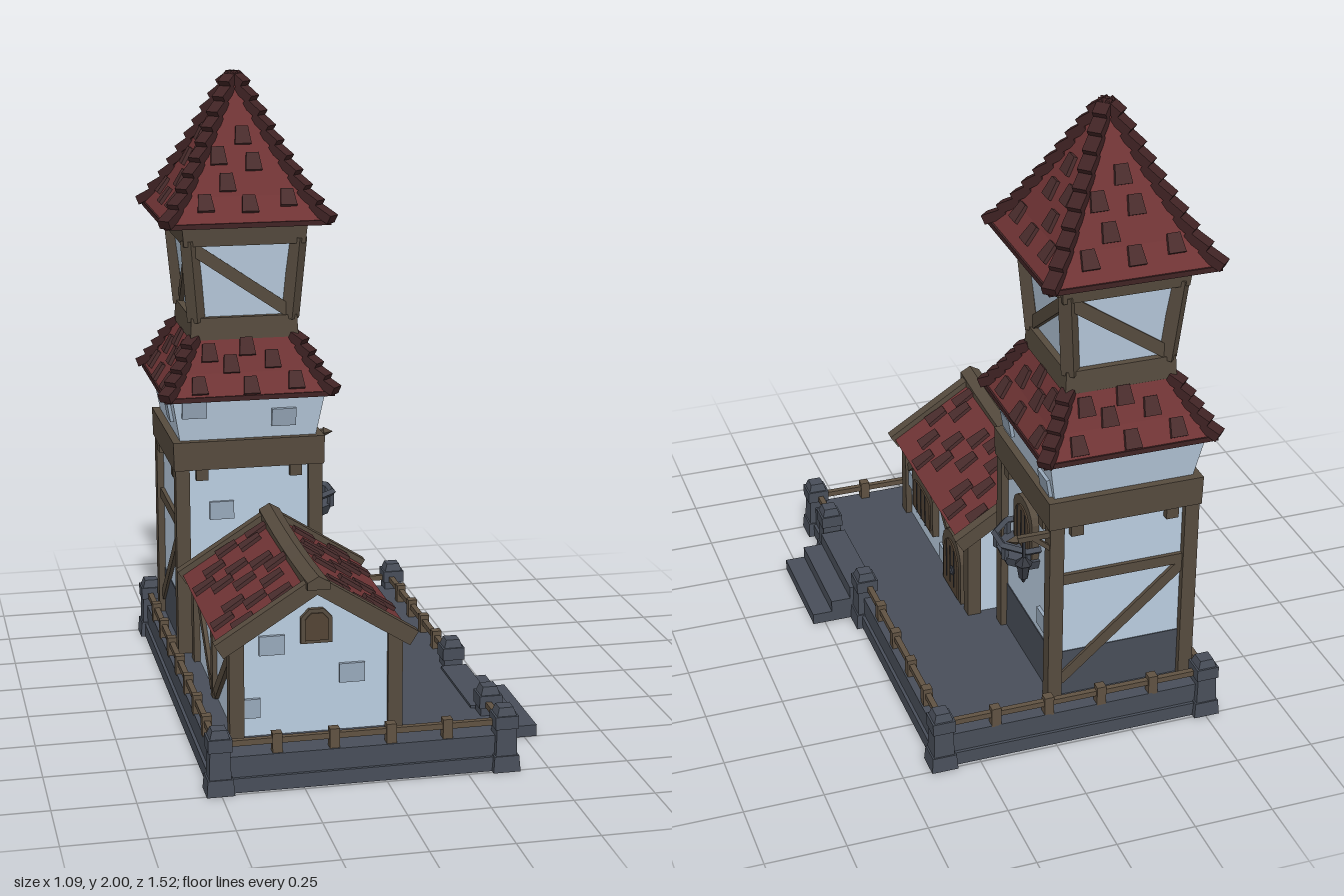
import * as THREE from 'three';

const paint = (name, color) => Object.assign(new THREE.MeshStandardMaterial({ color, flatShading: true }), { name });
const M = {
  stone: paint('stone', 0x484e59), wall: paint('plaster', 0xbacde0), brick: paint('brick', 0x98a9bb),
  wood: paint('timber', 0x564b3e), rail: paint('railWood', 0x605242), shutter: paint('shutterWood', 0x534435),
  roof: paint('roof', 0x703435), tile: paint('tile', 0x4a2d2d), hip: paint('hipTile', 0x402324), iron: paint('iron', 0x34373f),
};

function add(parent, name, geo, mat, x = 0, y = 0, z = 0) {
  const m = new THREE.Mesh(geo, mat);
  m.name = name;
  m.position.set(x, y, z);
  parent.add(m);
  return m;
}
const box = (p, name, mat, w, h, d, x, y, z) => add(p, name, new THREE.BoxGeometry(w, h, d), mat, x, y, z);

function group(parent, name, x = 0, y = 0, z = 0, turn = 0) {
  const g = new THREE.Group();
  g.name = name;
  g.position.set(x, y, z);
  g.rotation.y = turn;
  parent.add(g);
  return g;
}

// Timber running from point a to point b
function beam(p, name, mat, a, b, w, h = w) {
  const A = new THREE.Vector3(...a), B = new THREE.Vector3(...b);
  const o = new THREE.Object3D();
  o.position.copy(A).lerp(B, 0.5);
  o.lookAt(B);
  const m = box(p, name, mat, w, h, A.distanceTo(B), ...o.position);
  m.quaternion.copy(o.quaternion);
  return m;
}

// Square tapered block between two heights
function frustum(p, name, mat, y0, r0, y1, r1, x = 0, z = 0) {
  const g = new THREE.CylinderGeometry(r1 * Math.SQRT2, r0 * Math.SQRT2, y1 - y0, 4);
  g.rotateY(Math.PI / 4);
  return add(p, name, g, mat, x, (y0 + y1) / 2, z);
}

// Flat shape with thickness, pushed out along z
const plate = (points, depth, steps = 1) => new THREE.ExtrudeGeometry(
  new THREE.Shape(points.map(([x, y]) => new THREE.Vector2(x, y))), { depth, steps, bevelEnabled: false });

function arch(p, name, mat, w, h, rise, depth, x, y, z) {
  const s = new THREE.Shape();
  s.moveTo(-w / 2, 0).lineTo(w / 2, 0).lineTo(w / 2, h - rise);
  s.bezierCurveTo(w * 0.42, h, -w * 0.42, h, -w / 2, h - rise);
  return add(p, name, new THREE.ExtrudeGeometry(s, { depth, bevelEnabled: false, curveSegments: 8 }), mat, x, y, z);
}

function archedOpening(p, name, w, h, rise, x, y, z) {
  arch(p, name + 'Frame', M.wood, w, h, rise, 0.028, x, y, z);
  arch(p, name + 'Panel', M.shutter, w - 0.045, h - 0.04, rise, 0.033, x, y + 0.012, z);
  for (const k of [-0.2, 0, 0.2]) box(p, name + 'Gap', M.iron, 0.004, h - rise - 0.02, 0.004, x + k * w, y + h / 2 - 0.015, z + 0.033);
}

const tileGeo = plate([[-0.027, -0.03], [0.027, -0.03], [0.02, 0.03], [-0.02, 0.03]], 0.012);

// Four-sided bell roof with scattered tiles and stepped hip tiles
function bellRoof(p, name, rings, tiles, hips) {
  const g = group(p, name);
  for (let i = 0; i + 1 < rings.length; i++) frustum(g, 'roofSlope', M.roof, ...rings[i], ...rings[i + 1]);
  const [y0, r0] = rings[0], [yTop] = rings[rings.length - 1];
  frustum(g, 'eave', M.hip, y0 - 0.012, r0 + 0.003, y0 + 0.004, r0 + 0.003);
  const at = (y) => {
    let i = 0;
    while (i < rings.length - 2 && y > rings[i + 1][0]) i++;
    const [ya, ra] = rings[i], [yb, rb] = rings[i + 1];
    return { r: ra + (rb - ra) * (y - ya) / (yb - ya), tilt: Math.atan2(ra - rb, yb - ya) };
  };
  for (let s = 0; s < 4; s++) {
    const side = group(g, 'roofSide', 0, 0, 0, s * Math.PI / 2);
    for (const [u, y] of tiles) {
      const { r, tilt } = at(y);
      add(side, 'tile', tileGeo, M.tile, u * r * (s % 2 ? -1 : 1), y, r).rotation.x = -tilt;
    }
    for (let i = 0; i < hips; i++) {
      const ya = y0 + (yTop - y0) * i / hips, yb = Math.min(y0 + (yTop - y0) * (i + 1.15) / hips, yTop);
      const a = at(ya).r + 0.006, b = Math.max(at(yb).r - 0.006, 0);
      beam(side, 'hipTile', M.hip, [a, ya + 0.006, a], [b, yb - 0.008, b], 0.044, 0.03);
    }
  }
}

function courtyard(root) {
  const g = group(root, 'courtyard');
  // Hollow plinth: a paved floor on four stepped walls
  box(g, 'floor', M.stone, 0.88, 0.01, 1.44, -0.07, 0.105, 0);
  for (const k of [-1, 1]) {
    box(g, 'plinthFoot', M.stone, 0.92, 0.045, 0.04, -0.07, 0.0225, k * 0.72);
    box(g, 'plinthWall', M.stone, 0.9, 0.065, 0.03, -0.07, 0.0775, k * 0.715);
    box(g, 'plinthFoot', M.stone, 0.04, 0.045, 1.4, -0.07 + k * 0.44, 0.0225, 0);
    box(g, 'plinthWall', M.stone, 0.03, 0.065, 1.4, -0.07 + k * 0.435, 0.0775, 0);
  }
  box(g, 'towerUnderside', M.wall, 0.44, 0.008, 0.44, -0.243, 0.1, -0.42);
  [[0.41, 0.118], [0.475, 0.076], [0.54, 0.037]].forEach(([x, h]) =>
    box(g, 'step', M.stone, x - 0.325, h, 0.36, (x + 0.325) / 2, h / 2, 0.32));
  const posts = [[-0.503, 0.718], [-0.503, -0.718], [0.368, -0.718], [0.368, 0.718], [0.368, 0.105], [0.368, 0.54]];
  for (const [x, z] of posts) {
    frustum(g, 'pillarFoot', M.stone, 0, 0.042, 0.05, 0.038, x, z);
    frustum(g, 'pillar', M.stone, 0.05, 0.033, 0.14, 0.03, x, z);
    frustum(g, 'pillarCap', M.stone, 0.135, 0.036, 0.175, 0.036, x, z);
    frustum(g, 'pillarTop', M.stone, 0.175, 0.03, 0.2, 0.022, x, z);
  }
  // Low wooden fence: start, end, number of uprights
  const runs = [[[-0.5, 0.71], [0.365, 0.71], 4], [[-0.5, -0.715], [0.365, -0.715], 4], [[-0.508, -0.715], [-0.508, 0.71], 7],
    [[0.36, -0.715], [0.36, 0.105], 4], [[0.36, 0.54], [0.36, 0.71], 0]];
  for (const [a, b, n] of runs) {
    beam(g, 'fenceRail', M.rail, [a[0], 0.147, a[1]], [b[0], 0.147, b[1]], 0.018);
    for (let i = 1; i <= n; i++) {
      const t = i / (n + 1);
      box(g, 'fencePost', M.rail, 0.03, 0.065, 0.03, a[0] + (b[0] - a[0]) * t, 0.138, a[1] + (b[1] - a[1]) * t);
    }
  }
}

function tower(root) {
  const g = group(root, 'tower', -0.243, 0, -0.42);
  frustum(g, 'lowerWall', M.wall, 0.27, 0.22, 0.75, 0.22);
  frustum(g, 'stoneFooting', M.stone, 0.1, 0.223, 0.27, 0.223);
  frustum(g, 'girdle', M.wood, 0.735, 0.248, 0.83, 0.25);
  frustum(g, 'flaredWall', M.wall, 0.83, 0.225, 0.98, 0.252);
  frustum(g, 'collar', M.wood, 1.15, 0.178, 1.222, 0.174);
  frustum(g, 'upperWall', M.wall, 1.22, 0.152, 1.47, 0.18);
  frustum(g, 'upperGirdle', M.wood, 1.46, 0.198, 1.53, 0.205);
  bellRoof(g, 'lowerRoof', [[0.98, 0.275], [1.05, 0.228], [1.16, 0.168]],
    [[-0.65, 1.015], [0.02, 1.01], [0.62, 1.02], [-0.25, 1.075], [0.4, 1.085], [-0.62, 1.11], [0.02, 1.125]], 5);
  bellRoof(g, 'upperRoof', [[1.54, 0.265], [1.62, 0.203], [1.78, 0.113], [1.995, 0.004]],
    [[-0.6, 1.6], [0.05, 1.595], [0.65, 1.61], [-0.3, 1.66], [0.25, 1.72], [-0.55, 1.74], [0.1, 1.8]], 10);

  const bricks = [[[-0.09, 0.59, 0], [0.115, 0.9, 1], [-0.18, 0.94, 1]],
    [[-0.15, 0.895, 1], [0.17, 0.86, 1], [-0.185, 0.405, 0], [0.14, 0.34, 0]], [], [[0.12, 0.91, 1]]];
  for (let s = 0; s < 4; s++) {
    const f = group(g, 'towerSide', 0, 0, 0, s * Math.PI / 2);
    box(f, 'cornerPost', M.wood, 0.046, 0.64, 0.046, 0.22, 0.42, 0.22);
    for (const k of [-1, 1]) box(f, 'bracket', M.wood, 0.04, 0.04, 0.03, k * 0.155, 0.718, 0.228);
    beam(f, 'upperPost', M.wood, [0.155, 1.21, 0.155], [0.178, 1.48, 0.178], 0.042);
    const k = s % 2 ? 1 : -1;
    beam(f, 'upperBrace', M.wood, [-k * 0.145, 1.235, 0.157], [k * 0.165, 1.45, 0.18], 0.02, 0.04);
    for (const [x, y, up] of bricks[s]) {
      const b = box(f, 'brick', M.brick, 0.08, 0.06, 0.022, x, y, up ? 0.225 + (y - 0.83) * 0.18 : 0.22);
      if (up) b.rotation.x = 0.17;
    }
    // Half-timbering on the back and left
    if (s > 1) {
      box(f, 'midBeam', M.wood, 0.42, 0.035, 0.026, 0, 0.54, 0.22);
      beam(f, 'lowerTie', M.wood, [-0.2, 0.17, 0.22], [0.2, 0.52, 0.22], 0.024, 0.035);
    }
  }

  // Balcony window and lantern on the right
  const r = group(g, 'rightDetails', 0, 0, 0, Math.PI / 2);
  archedOpening(r, 'balconyWindow', 0.17, 0.2, 0.07, 0, 0.525, 0.215);
  const bal = group(r, 'balcony', 0, 0, 0.222, Math.PI / 8);
  add(bal, 'balconyFloor', new THREE.CylinderGeometry(0.105, 0.09, 0.035, 8), M.stone, 0, 0.516, 0);
  const ring = add(bal, 'balconyRail', new THREE.TorusGeometry(0.107, 0.012, 4, 8), M.stone, 0, 0.575, 0);
  ring.rotation.x = Math.PI / 2;
  for (let i = 0; i < 8; i++) {
    const a = i * Math.PI / 4;
    box(bal, 'baluster', M.stone, 0.016, 0.05, 0.016, Math.sin(a) * 0.1, 0.55, Math.cos(a) * 0.1);
  }
  const l = group(r, 'lantern', 0.23, 0, 0.323);
  beam(l, 'lanternArm', M.wood, [0, 0.715, -0.1], [0, 0.715, 0.025], 0.018);
  const tip = add(l, 'armTip', new THREE.ConeGeometry(0.018, 0.035, 4), M.wood, 0, 0.715, 0.04);
  tip.rotation.x = Math.PI / 2;
  beam(l, 'armBrace', M.wood, [0, 0.66, -0.09], [0, 0.71, -0.03], 0.014);
  box(l, 'chain', M.iron, 0.008, 0.07, 0.008, 0, 0.68, 0);
  add(l, 'lanternCap', new THREE.ConeGeometry(0.029, 0.027, 6), M.iron, 0, 0.64, 0);
  add(l, 'lanternBody', new THREE.CylinderGeometry(0.023, 0.015, 0.05, 6), M.iron, 0, 0.603, 0);
  add(l, 'lanternFoot', new THREE.CylinderGeometry(0.012, 0.004, 0.018, 6), M.iron, 0, 0.57, 0);
}

function house(root) {
  const g = group(root, 'house', -0.182, 0, 0.23);
  add(g, 'houseWalls', plate([[-0.245, 0.105], [0.245, 0.105], [0.245, 0.41], [0, 0.555], [-0.245, 0.41]], 0.7), M.wall, 0, 0, -0.35);
  // Slightly sagging ridge
  const ridge = plate([[-0.034, 0.56], [0.034, 0.56], [0.034, 0.583], [0, 0.602], [-0.034, 0.583]], 0.79, 6);
  const pos = ridge.attributes.position;
  for (let i = 0; i < pos.count; i++) pos.setY(i, pos.getY(i) + 0.08 * (pos.getZ(i) - 0.395) ** 2);
  ridge.computeVertexNormals();
  add(g, 'ridgeBeam', ridge, M.wood, 0, 0, -0.39);

  for (const k of [-1, 1]) {
    beam(g, 'roofSlab', M.roof, [0, 0.57, 0], [k * 0.287, 0.388, 0], 0.7, 0.03);
    for (const z of [-0.36, 0.36]) {
      beam(g, 'bargeBoard', M.wood, [0, 0.58, z], [k * 0.298, 0.392, z], 0.036, 0.05);
      box(g, 'housePost', M.wood, 0.045, 0.31, 0.045, k * 0.243, 0.26, z * 0.95);
    }
    box(g, 'wallPlate', M.wood, 0.03, 0.03, 0.7, k * 0.245, 0.385, 0);
    // Scattered tiles in staggered rows
    const slope = group(g, 'houseTiles', 0, 0.588, 0, k * Math.PI / 2);
    const tilt = Math.atan2(0.287, 0.182);
    for (let i = 0; i < 8; i++) for (const u of i % 2 ? [0.09, 0.21] : [0.06, 0.155, 0.255].slice(i % 4 / 2, i % 4 / 2 + 2)) {
      const m = add(slope, 'tile', tileGeo, M.tile, -0.3 + i * 0.086 + 0.018 * Math.sin(u * 40 + i), -u * 0.634, u);
      m.rotation.x = -tilt;
      m.scale.y = 1.25;
    }
  }

  // Gable front
  add(g, 'gableWindowFrame', plate([[-0.048, 0.395], [0.048, 0.395], [0.048, 0.475], [0.022, 0.502], [-0.022, 0.502], [-0.048, 0.475]], 0.02), M.wood, 0, 0, 0.345);
  add(g, 'gableWindowPanel', plate([[-0.036, 0.405], [0.036, 0.405], [0.036, 0.47], [0.018, 0.49], [-0.018, 0.49], [-0.036, 0.47]], 0.025), M.shutter, 0, 0, 0.345);
  for (const [x, y] of [[-0.135, 0.395], [0.11, 0.292], [-0.21, 0.2]]) box(g, 'brick', M.brick, 0.078, 0.06, 0.022, x, y, 0.35);

  // Right side with window and door
  const r = group(g, 'houseRight', 0, 0, 0, Math.PI / 2);
  archedOpening(r, 'window', 0.23, 0.165, 0.025, -0.12, 0.195, 0.24);
  archedOpening(r, 'door', 0.19, 0.25, 0.09, 0.2, 0.105, 0.24);
  add(r, 'doorHandle', new THREE.TorusGeometry(0.013, 0.005, 4, 8), M.iron, 0.235, 0.21, 0.278);
  for (const [x, y] of [[-0.285, 0.255], [0.06, 0.16]]) box(r, 'brick', M.brick, 0.07, 0.06, 0.022, x, y, 0.245);
  for (const [a, b] of [[-0.32, -0.22], [0.11, 0.01], [0.32, 0.27]])
    beam(r, 'brace', M.wood, [a, 0.295, 0.245], [b, 0.375, 0.245], 0.026, 0.026);

  // Left side with crossed timbering
  const l = group(g, 'houseLeft', 0, 0, 0, -Math.PI / 2);
  box(l, 'middlePost', M.wood, 0.035, 0.29, 0.03, 0, 0.25, 0.245);
  for (const k of [-1, 1]) beam(l, 'leftBrace', M.wood, [k * 0.03, 0.13, 0.245], [k * 0.32, 0.37, 0.245], 0.026, 0.035);
}

export function createModel() {
  const root = new THREE.Group();
  root.name = 'watchtowerHouse';
  courtyard(root);
  tower(root);
  house(root);
  return root;
}
